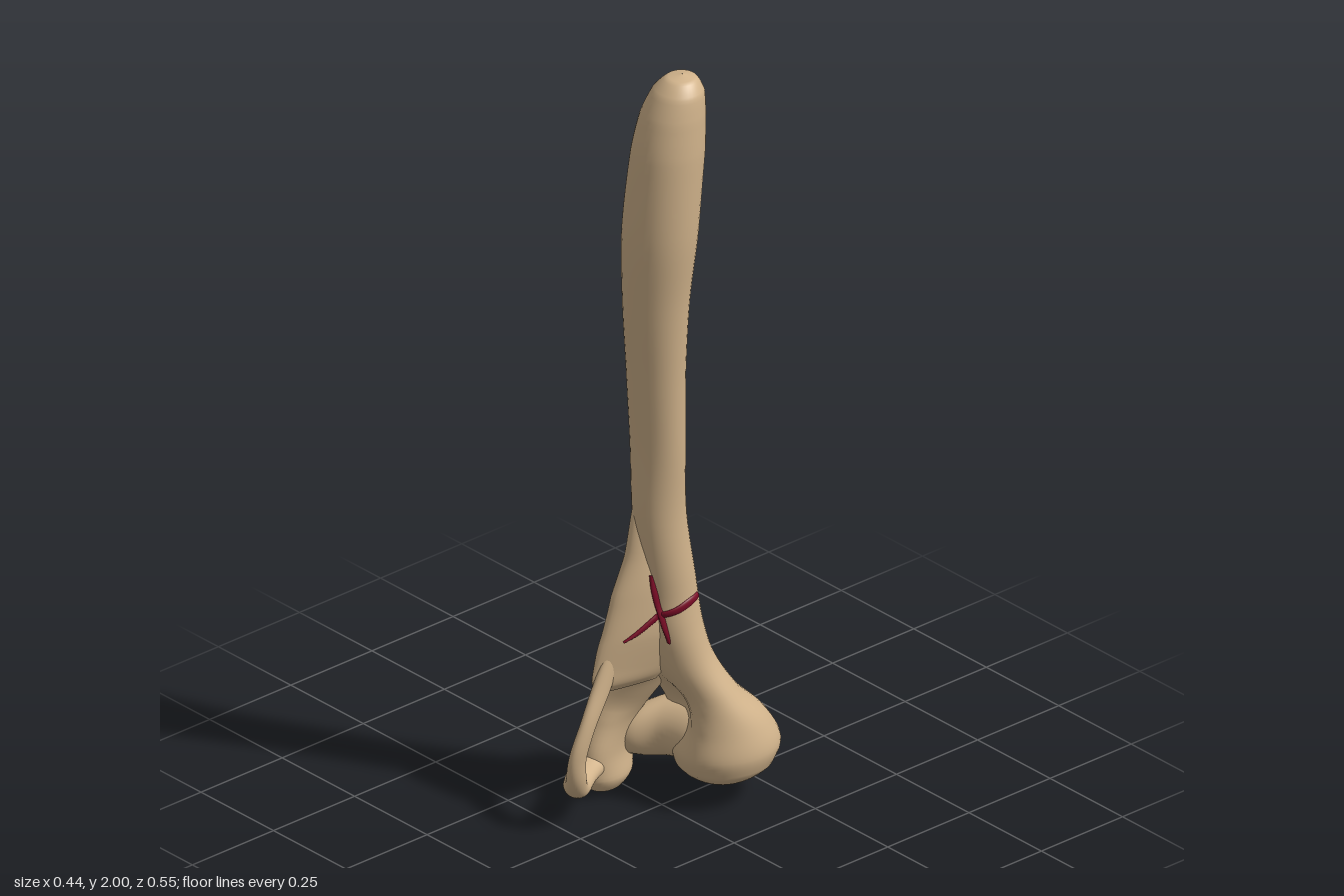
import * as THREE from 'three';

const RING = 36;

// Skin a row of elliptical sections [x, y, z, halfU, halfV, turn].
// axis: fixed section normal (null follows the path); ref: direction of halfU.
function loft(sections, axis, ref, steps = 6, deform = null) {
  const path = new THREE.CatmullRomCurve3(sections.map(s => new THREE.Vector3(s[0], s[1], s[2])));
  const size = new THREE.CatmullRomCurve3(sections.map(s => new THREE.Vector3(s[3], s[4], s[5] || 0)));
  const rows = (sections.length - 1) * steps;
  const pos = [], idx = [];
  for (let i = 0; i <= rows; i++) {
    const t = i / rows;
    const c = path.getPoint(t), s = size.getPoint(t);
    const n = axis ? axis.clone() : path.getTangent(t);
    const u = ref.clone().addScaledVector(n, -ref.dot(n)).normalize().applyAxisAngle(n, s.z);
    const v = new THREE.Vector3().crossVectors(n, u);
    for (let j = 0; j < RING; j++) {
      const a = j / RING * Math.PI * 2;
      const p = c.clone()
        .addScaledVector(u, Math.cos(a) * Math.max(s.x, 0.0005))
        .addScaledVector(v, Math.sin(a) * Math.max(s.y, 0.0005));
      if (deform) deform(p);
      pos.push(p.x, p.y, p.z);
      if (i < rows) {
        const k = i * RING + j, l = i * RING + (j + 1) % RING;
        idx.push(k, l, l + RING, k, l + RING, k + RING);
      }
    }
  }
  const g = new THREE.BufferGeometry();
  g.setAttribute('position', new THREE.Float32BufferAttribute(pos, 3));
  g.setIndex(idx);
  g.computeVertexNormals();
  return g;
}

export function createModel() {
  const group = new THREE.Group();
  const bone = new THREE.MeshStandardMaterial({ color: 0xd2b48c });
  bone.name = 'bone tan';
  const red = new THREE.MeshStandardMaterial({ color: 0x7a0c26 });
  red.name = 'fracture red';
  const X = new THREE.Vector3(1, 0, 0), Z = new THREE.Vector3(0, 0, 1), DOWN = new THREE.Vector3(0, -1, 0);

  const add = (name, geometry, material = bone) => {
    const m = new THREE.Mesh(geometry, material);
    m.name = name;
    group.add(m);
    return m;
  };

  // Hollow on the front of the lower end
  const hollow = p => {
    const w = THREE.MathUtils.smoothstep(p.z, -0.13, -0.02);
    p.z -= 0.06 * w * Math.exp(-(((p.x - 0.01) / 0.06) ** 2) - ((p.y - 0.24) / 0.09) ** 2);
  };

  // Shaft from the rounded top down into the large rear knuckle
  const shaft = add('shaft', loft([
    [0.155, 2.0, 0.075, 0, 0],
    [0.154, 1.992, 0.077, 0.036, 0.036],
    [0.15, 1.96, 0.083, 0.062, 0.06],
    [0.142, 1.9, 0.092, 0.077, 0.076],
    [0.133, 1.8, 0.1, 0.087, 0.086],
    [0.113, 1.6, 0.105, 0.093, 0.086],
    [0.092, 1.4, 0.1, 0.083, 0.075],
    [0.075, 1.2, 0.085, 0.075, 0.065],
    [0.06, 1.0, 0.066, 0.07, 0.061],
    [0.047, 0.8, 0.049, 0.062, 0.064],
    [0.043, 0.6, 0.015, 0.063, 0.065],
    [0.035, 0.5, 0.0, 0.075, 0.07],
    [0.023, 0.4, -0.03, 0.098, 0.075],
    [0.03, 0.3, -0.08, 0.12, 0.085],
    [0.048, 0.22, -0.122, 0.125, 0.117],
    [0.055, 0.15, -0.14, 0.129, 0.136],
    [0.056, 0.1, -0.14, 0.113, 0.118],
    [0.056, 0.065, -0.138, 0.068, 0.07],
    [0.056, 0.052, -0.137, 0, 0],
  ], DOWN, X, 6, hollow));

  // Inner column ending in the small rounded knuckle
  add('innerColumn', loft([
    [0.02, 0.54, 0.0, 0.04, 0.045, 0],
    [-0.003, 0.47, -0.005, 0.05, 0.055, 0],
    [-0.04, 0.39, -0.015, 0.053, 0.06, 0],
    [-0.09, 0.3, -0.018, 0.055, 0.065, -0.2],
    [-0.143, 0.21, 0.01, 0.058, 0.075, -0.42],
    [-0.156, 0.12, 0.032, 0.054, 0.088, -0.42],
    [-0.156, 0.055, 0.035, 0.06, 0.082, -0.42],
    [-0.153, 0.018, 0.038, 0.04, 0.055, -0.42],
    [-0.152, 0.004, 0.038, 0, 0, -0.42],
  ], DOWN, X));

  // Saddle joining the two knuckles
  add('saddle', loft([
    [-0.165, 0.12, 0.02, 0.045, 0.045],
    [-0.13, 0.14, -0.03, 0.07, 0.06],
    [-0.085, 0.155, -0.07, 0.09, 0.075],
    [-0.04, 0.165, -0.11, 0.09, 0.085],
    [0.04, 0.16, -0.13, 0.09, 0.09],
  ], X, Z));

  // Sharp crest along the front of the shaft
  const crest = add('crest', loft([
    [0.03, 0.88, 0.08, 0.012, 0.02, 0.3],
    [0.03, 0.8, 0.075, 0.022, 0.038, 0.3],
    [0.03, 0.7, 0.072, 0.032, 0.056, 0.3],
    [0.03, 0.6, 0.07, 0.038, 0.092, 0.3],
    [0.025, 0.5, 0.083, 0.034, 0.103, 0.3],
    [0.012, 0.42, 0.097, 0.026, 0.104, 0.25],
    [0.004, 0.375, 0.105, 0.019, 0.095, 0.2],
    [0.002, 0.352, 0.1, 0.004, 0.07, 0.2],
  ], DOWN, X));

  // Thin arch looping from the crest to the small knuckle
  add('arch', loft([
    [0.005, 0.46, 0.15, 0.012, 0.025],
    [0.0, 0.37, 0.188, 0.016, 0.026],
    [0.0, 0.29, 0.228, 0.015, 0.022],
    [-0.01, 0.21, 0.25, 0.016, 0.024],
    [-0.03, 0.14, 0.237, 0.022, 0.026],
    [-0.07, 0.095, 0.2, 0.032, 0.027],
    [-0.115, 0.09, 0.14, 0.036, 0.028],
    [-0.15, 0.09, 0.06, 0.036, 0.03],
  ], null, X));

  // Fracture marks, dropped onto the bone surface from the side: [z, y, half width]
  const ray = new THREE.Raycaster();
  group.updateMatrixWorld(true);
  const side = new THREE.Vector3(-1, 0, 0);
  const marks = {
    uprightCrack: [[0.09, 0.66, 0.003], [0.083, 0.62, 0.008], [0.07, 0.57, 0.01], [0.06, 0.52, 0.009], [0.05, 0.475, 0.003]],
    rearCrack: [[-0.022, 0.582, 0.009], [0.01, 0.578, 0.011], [0.04, 0.565, 0.01], [0.07, 0.55, 0.008]],
    frontCrack: [[0.06, 0.556, 0.009], [0.09, 0.535, 0.008], [0.12, 0.512, 0.006], [0.148, 0.494, 0.002]],
  };
  for (const [name, points] of Object.entries(marks)) {
    const curve = new THREE.CatmullRomCurve3(points.map(p => new THREE.Vector3(...p)));
    const path = [];
    for (const p of curve.getPoints(14)) {
      ray.set(new THREE.Vector3(1, p.y, p.x), side);
      const hit = ray.intersectObjects([shaft, crest])[0];
      if (hit) path.push([hit.point.x, p.y, p.x, 0.005, p.z]);
    }
    if (path.length > 2) add(name, loft(path, null, X, 2), red);
  }
  return group;
}
